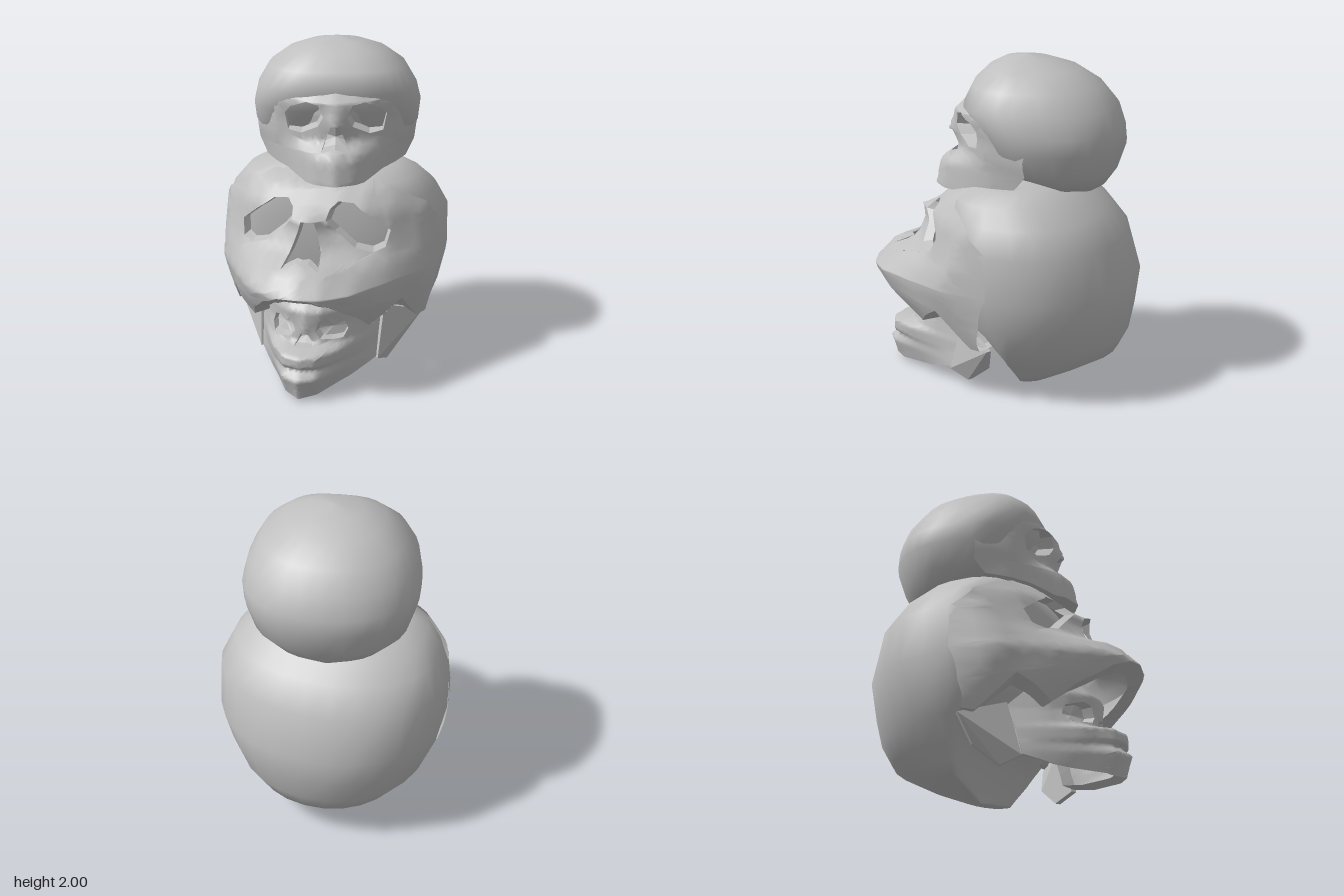
import * as THREE from 'three';
import { mergeVertices } from 'three/addons/utils/BufferGeometryUtils.js';
import { ConvexGeometry } from 'three/addons/geometries/ConvexGeometry.js';

const bone = new THREE.MeshStandardMaterial({ color: 0xbfbfbf, side: THREE.DoubleSide });
bone.name = 'bone grey';

function add(group, geometry, name) {
  const mesh = new THREE.Mesh(geometry, bone);
  mesh.name = name;
  group.add(mesh);
}

function fromPositions(positions) {
  const g = new THREE.BufferGeometry();
  g.setAttribute('position', new THREE.Float32BufferAttribute(positions, 3));
  return g;
}

const flip = pts => pts.map(([x, y]) => [-x, y]).reverse();

// Braincase: sections round behind and squarer in front; rows of [y, zBack, zWidest, zFront, halfWidth]
function cranium(sections, n = 28) {
  const pos = [], idx = [];
  const close = ([y, , mid]) => [y, mid, mid, mid, 0];
  const rows = [close(sections[0]), ...sections, close(sections[sections.length - 1])];
  rows.forEach(([y, back, mid, front, w], i) => {
    for (let j = 0; j < n; j++) {
      const a = j / n * Math.PI * 2;
      const ahead = Math.cos(a) > 0;
      const bend = v => Math.sign(v) * Math.abs(v) ** (2 / (ahead ? 2.8 : 2.15));
      pos.push(w * bend(Math.sin(a)), y, mid + (ahead ? front - mid : mid - back) * bend(Math.cos(a)));
      if (i + 1 < rows.length) {
        const k = (j + 1) % n, p = i * n, q = p + n;
        idx.push(p + j, p + k, q + k, p + j, q + k, q + j);
      }
    }
  });
  const g = fromPositions(pos);
  g.setIndex(idx);
  const merged = mergeVertices(g, 1e-5);
  merged.computeVertexNormals();
  return merged;
}

// Depth of a face at (x, y), read from rows of [y, z at each x station], top row first
function depthRule(stations, rows) {
  const across = (row, x) => {
    let i = 0;
    while (i < stations.length - 2 && x > stations[i + 1]) i++;
    const t = (x - stations[i]) / (stations[i + 1] - stations[i]);
    return THREE.MathUtils.lerp(row[i + 1], row[i + 2], Math.min(t, 1.2));
  };
  return (x, y) => {
    let r = 0;
    while (r < rows.length - 2 && y < rows[r + 1][0]) r++;
    const t = THREE.MathUtils.clamp((rows[r][0] - y) / (rows[r][0] - rows[r + 1][0]), 0, 1);
    return THREE.MathUtils.lerp(across(rows[r], Math.abs(x)), across(rows[r + 1], Math.abs(x)), t);
  };
}

// Face shell: flat outline with holes, split finely, then pushed out by the depth rule
function faceShell(outline, holes, depth, maxEdge) {
  const toV = p => new THREE.Vector2(...p);
  const shape = new THREE.Shape(outline.map(toV));
  holes.forEach(h => shape.holes.push(new THREE.Path(h.map(toV))));
  const flat = new THREE.ShapeGeometry(shape).toNonIndexed().attributes.position;
  const out = [];
  const split = (a, b, c) => {
    const ab = a.distanceTo(b), bc = b.distanceTo(c), ca = c.distanceTo(a);
    const longest = Math.max(ab, bc, ca);
    if (longest < maxEdge) {
      for (const p of [a, b, c]) out.push(p.x, p.y, depth(p.x, p.y));
      return;
    }
    if (longest === bc) [a, b, c] = [b, c, a];
    else if (longest === ca) [a, b, c] = [c, a, b];
    const m = a.clone().add(b).multiplyScalar(0.5);
    split(a, m, c);
    split(m, b, c);
  };
  for (let i = 0; i < flat.count; i += 3) {
    split(...[0, 1, 2].map(k => new THREE.Vector2(flat.getX(i + k), flat.getY(i + k))));
  }
  const g = mergeVertices(fromPositions(out), 1e-5);
  g.computeVertexNormals();
  return g;
}

// Edge wall: runs backwards from a path on the face, shrinking towards a centre; may end in a cap
function edgeWall(path, closed, depth, [cx, cy], scale, thick, cap) {
  const pts = [], pos = [], steps = 4;
  const end = closed ? path.length : path.length - 1;
  for (let i = 0; i < end; i++) {
    const [ax, ay] = path[i], [bx, by] = path[(i + 1) % path.length];
    for (let s = 0; s < steps; s++) pts.push([ax + (bx - ax) * s / steps, ay + (by - ay) * s / steps]);
  }
  pts.push(closed ? path[0] : path[path.length - 1]);
  const outer = ([x, y]) => [x, y, depth(x, y)];
  const inner = ([x, y]) => [cx + (x - cx) * scale, cy + (y - cy) * scale, depth(x, y) - thick];
  const middle = [cx, cy, depth(cx, cy) - thick];
  for (let i = 0; i + 1 < pts.length; i++) {
    const a = outer(pts[i]), b = outer(pts[i + 1]), c = inner(pts[i + 1]), d = inner(pts[i]);
    pos.push(...a, ...b, ...c, ...a, ...c, ...d);
    if (cap) pos.push(...d, ...c, ...middle);
  }
  const g = fromPositions(pos);
  g.computeVertexNormals();
  return g;
}

// One skull; outline, eye and edge are right halves that get mirrored
function skull(name, s) {
  const group = new THREE.Group();
  group.name = name;
  const depth = depthRule(s.stations, s.rows);
  const holes = [s.eye, flip(s.eye), s.nose].map(h =>
    THREE.ShapeUtils.isClockWise(h.map(p => new THREE.Vector2(...p))) ? [...h].reverse() : h);
  const outline = [...s.outline, ...flip(s.outline).slice(1, -1)];
  add(group, faceShell(outline, holes, depth, s.maxEdge), 'face');
  holes.forEach((h, i) => {
    const c = [0, 1].map(k => h.reduce((t, p) => t + p[k], 0) / h.length);
    add(group, edgeWall(h, true, depth, c, 0.88, s.socket, s.capped), ['leftEyeSocket', 'rightEyeSocket', 'noseSocket'][i]);
  });
  const half = s.outline.slice(s.edgeFrom);
  add(group, edgeWall([...half, ...flip(half).slice(1)], false, depth, s.edgeCentre, s.edgeScale, s.thick, false), 'lowerEdge');
  if (s.cranium) add(group, cranium(s.cranium), 'cranium');
  return group;
}

export function createModel() {
  const model = new THREE.Group();
  model.name = 'stackedSkulls';

  // Large middle skull
  model.add(skull('largeSkull', {
    cranium: [[0, -0.24, -0.2, -0.19, 0.02], [0.07, -0.4, -0.19, -0.17, 0.36], [0.13, -0.55, -0.18, -0.14, 0.41],
      [0.22, -0.72, -0.16, -0.1, 0.49], [0.34, -0.78, -0.16, -0.02, 0.59], [0.5, -0.81, -0.18, 0.17, 0.65],
      [0.68, -0.83, -0.22, 0.24, 0.69], [0.95, -0.75, -0.22, 0.25, 0.69], [1.1, -0.63, -0.18, 0.26, 0.62],
      [1.2, -0.5, -0.13, 0.24, 0.53], [1.27, -0.38, -0.13, 0.12, 0.4], [1.3, -0.2, -0.1, 0, 0.1]],
    stations: [0, 0.15, 0.3, 0.45, 0.62, 0.69],
    rows: [[1.28, 0.1, 0.08, 0.02, -0.1, -0.3, -0.4], [1.2, 0.3, 0.29, 0.25, 0.15, -0.04, -0.2],
      [1.08, 0.43, 0.42, 0.37, 0.26, 0.05, -0.15], [1.04, 0.53, 0.44, 0.38, 0.28, 0.08, -0.14],
      [0.97, 0.53, 0.44, 0.39, 0.3, 0.11, -0.12], [0.87, 0.58, 0.5, 0.43, 0.34, 0.15, -0.1],
      [0.83, 0.66, 0.57, 0.47, 0.36, 0.17, -0.1], [0.8, 0.72, 0.67, 0.54, 0.39, 0.18, -0.1],
      [0.68, 0.83, 0.8, 0.7, 0.48, 0.21, -0.1], [0.55, 0.8, 0.75, 0.62, 0.43, 0.12, -0.12],
      [0.4, 0.62, 0.6, 0.48, 0.32, 0.02, -0.16], [0.33, 0.6, 0.55, 0.42, 0.28, -0.04, -0.2]],
    outline: [[0, 1.27], [0.3, 1.24], [0.5, 1.14], [0.61, 1.08], [0.675, 0.95], [0.68, 0.7], [0.65, 0.5],
      [0.61, 0.35], [0.57, 0.34], [0.52, 0.54], [0.44, 0.47], [0.35, 0.4], [0.31, 0.5], [0.2, 0.62],
      [0.1, 0.67], [0, 0.68]],
    eye: [[0.11, 1.09], [0.15, 1.13], [0.24, 1.12], [0.34, 1.05], [0.45, 0.96], [0.43, 0.87],
      [0.37, 0.85], [0.27, 0.88], [0.15, 0.98], [0.1, 1.04]],
    nose: [[-0.04, 1.03], [0, 1.04], [0.04, 1.03], [0.11, 0.8], [0.04, 0.83], [-0.04, 0.83], [-0.11, 0.8]],
    edgeFrom: 7, edgeCentre: [0, 0.42], edgeScale: 0.8, thick: 0.09, socket: 0.06, maxEdge: 0.06, capped: false,
  }));

  // Upper skull, turned a little to its left
  const upper = skull('upperSkull', {
    cranium: [[1.18, -0.33, -0.28, -0.22, 0.05], [1.26, -0.42, -0.16, -0.1, 0.33], [1.35, -0.48, -0.1, 0.2, 0.45],
      [1.5, -0.53, -0.08, 0.32, 0.5], [1.6, -0.52, -0.07, 0.36, 0.51], [1.72, -0.48, -0.02, 0.44, 0.48],
      [1.84, -0.38, 0, 0.38, 0.41], [1.93, -0.24, 0.03, 0.29, 0.29], [1.98, -0.08, 0.06, 0.2, 0.16],
      [2, 0.04, 0.06, 0.08, 0.02]],
    stations: [0, 0.12, 0.24, 0.36, 0.47],
    rows: [[1.82, 0.34, 0.33, 0.28, 0.16, -0.05], [1.68, 0.49, 0.47, 0.42, 0.32, 0.1],
      [1.56, 0.53, 0.44, 0.38, 0.3, 0.1], [1.45, 0.48, 0.44, 0.38, 0.29, 0.1],
      [1.38, 0.58, 0.54, 0.41, 0.27, 0.07], [1.23, 0.61, 0.56, 0.42, 0.25, 0]],
    outline: [[0, 1.82], [0.3, 1.8], [0.45, 1.7], [0.49, 1.55], [0.47, 1.38], [0.42, 1.29],
      [0.28, 1.27], [0.17, 1.22], [0, 1.22]],
    eye: [[0.07, 1.6], [0.1, 1.67], [0.17, 1.685], [0.26, 1.65], [0.3, 1.6], [0.28, 1.5], [0.2, 1.49], [0.1, 1.54]],
    nose: [[-0.025, 1.55], [0.025, 1.55], [0.08, 1.4], [0, 1.42], [-0.08, 1.4]],
    edgeFrom: 5, edgeCentre: [0, 1.28], edgeScale: 0.85, thick: 0.1, socket: 0.1, maxEdge: 0.05, capped: true,
  });
  upper.position.z = -0.2;
  upper.rotation.y = 0.22;
  model.add(upper);

  // Small skull held as the lower jaw, with a lip ridge above a chin
  model.add(skull('jawSkull', {
    stations: [0, 0.1, 0.2, 0.28, 0.37],
    rows: [[0.66, 0.45, 0.43, 0.35, 0.25, 0.15], [0.5, 0.58, 0.56, 0.47, 0.36, 0.15],
      [0.4, 0.59, 0.54, 0.46, 0.36, 0.16], [0.31, 0.57, 0.57, 0.5, 0.38, 0.19],
      [0.28, 0.73, 0.7, 0.57, 0.4, 0.2], [0.21, 0.73, 0.7, 0.55, 0.39, 0.21],
      [0.19, 0.69, 0.66, 0.53, 0.38, 0.22], [0.14, 0.76, 0.71, 0.53, 0.38, 0.23],
      [0.02, 0.72, 0.64, 0.46, 0.35, 0.24]],
    outline: [[0, 0.66], [0.2, 0.62], [0.33, 0.5], [0.37, 0.42], [0.36, 0.12], [0.24, 0.06], [0.08, 0.02], [0, 0.015]],
    eye: [[0.06, 0.38], [0.08, 0.44], [0.13, 0.46], [0.21, 0.43], [0.23, 0.37], [0.21, 0.33], [0.15, 0.33], [0.09, 0.34]],
    nose: [[-0.02, 0.37], [0.02, 0.37], [0.055, 0.3], [-0.055, 0.3]],
    edgeFrom: 3, edgeCentre: [0, 0.3], edgeScale: 0.87, thick: 0.06, socket: 0.06, maxEdge: 0.03, capped: true,
  }));

  // Jaw hinge plates joining the small skull to the cheekbones
  for (const side of [1, -1]) {
    const corners = [[0.37, 0.11, 0.25], [0.4, 0.06, 0.13], [0.48, 0.18, 0], [0.59, 0.34, -0.04], [0.39, 0.43, 0.17]];
    const pts = corners.flatMap(([x, y, z]) => [
      new THREE.Vector3(side * x, y, z), new THREE.Vector3(side * (x - 0.025), y, z - 0.02)]);
    add(model, new ConvexGeometry(pts), side > 0 ? 'leftJawHinge' : 'rightJawHinge');
  }
  return model;
}
